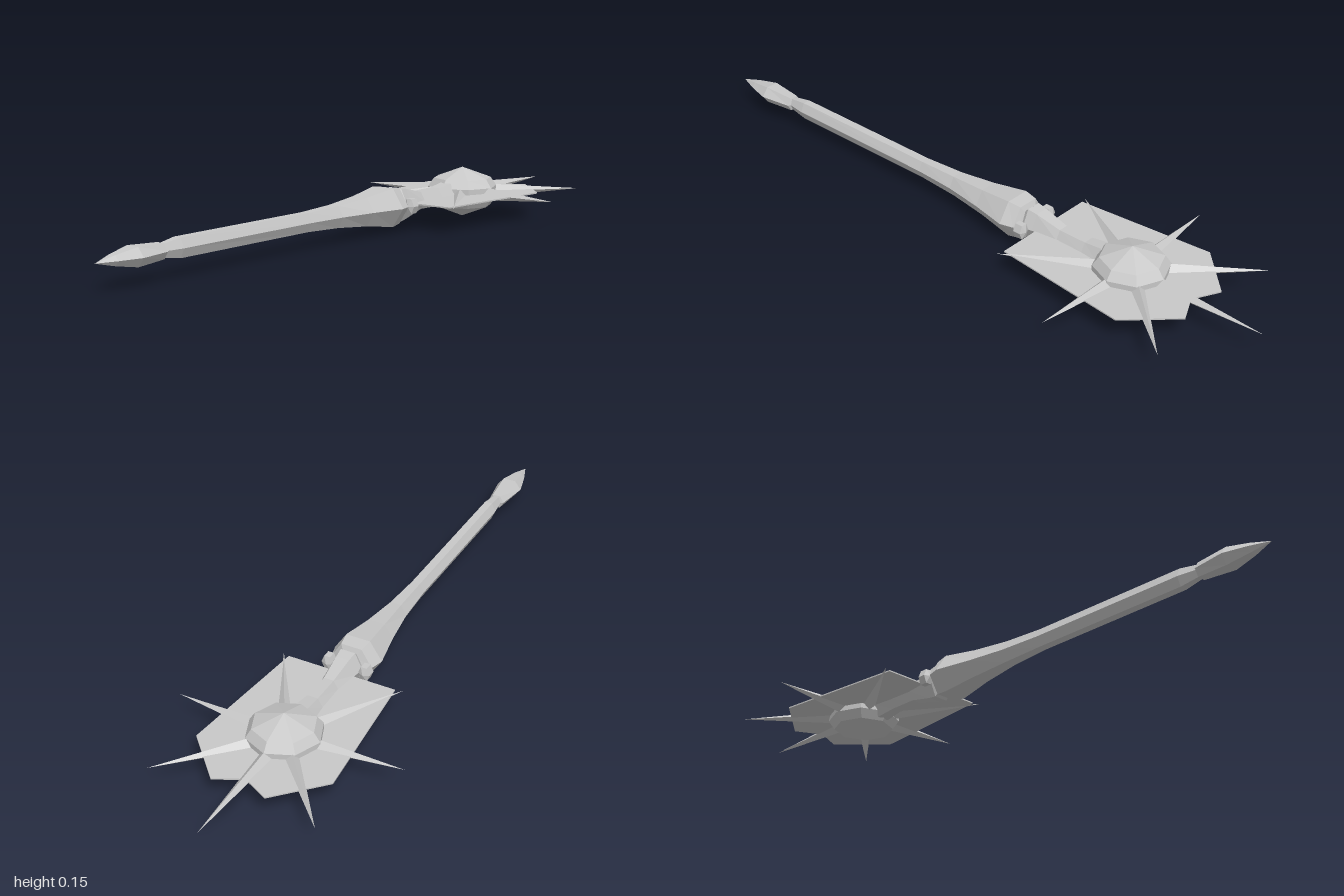
import * as THREE from 'three';

const AXIS_Y = 0.077;

// Six-sided loft along x; each station is [x, half height, half depth]
function loft(stations) {
  const sides = 6, pos = [], idx = [];
  for (const [x, ry, rz] of stations) {
    for (let k = 0; k < sides; k++) {
      const a = (k / sides) * Math.PI * 2;
      pos.push(x, (ry * Math.sin(a)) / 0.866, rz * Math.cos(a));
    }
  }
  for (let i = 0; i < stations.length - 1; i++) {
    for (let k = 0; k < sides; k++) {
      const a = i * sides + k, b = i * sides + ((k + 1) % sides);
      const c = a + sides, d = b + sides;
      idx.push(a, c, b, b, c, d);
    }
  }
  const g = new THREE.BufferGeometry();
  g.setAttribute('position', new THREE.Float32BufferAttribute(pos, 3));
  g.setIndex(idx);
  const flat = g.toNonIndexed();
  flat.computeVertexNormals();
  return flat;
}

export function createModel() {
  const group = new THREE.Group();
  const steel = new THREE.MeshStandardMaterial({
    name: 'steel', color: 0xc8c8c8, flatShading: true, side: THREE.DoubleSide,
  });
  const add = (name, geometry, x = 0, y = AXIS_Y, z = 0) => {
    const mesh = new THREE.Mesh(geometry, steel);
    mesh.name = name;
    mesh.position.set(x, y, z);
    group.add(mesh);
    return mesh;
  };

  // Pointed pommel
  add('pommel', loft([
    [-1, 0, 0], [-0.94, 0.014, 0.022], [-0.87, 0.026, 0.04],
    [-0.77, 0.021, 0.025], [-0.76, 0, 0],
  ]));

  // Shaft flaring towards the head
  add('shaft', loft([
    [-0.78, 0, 0], [-0.77, 0.018, 0.016], [-0.71, 0.027, 0.024], [-0.2, 0.027, 0.026],
    [-0.07, 0.032, 0.034], [0.05, 0.042, 0.052], [0.16, 0.057, 0.075],
    [0.2, 0.052, 0.064], [0.21, 0.03, 0.04], [0.215, 0, 0],
  ]));

  // Neck between shaft and head
  add('neck', loft([
    [0.19, 0, 0], [0.2, 0.03, 0.035], [0.22, 0.05, 0.045], [0.25, 0.045, 0.04],
    [0.33, 0.026, 0.03], [0.42, 0.027, 0.032], [0.48, 0.035, 0.038], [0.52, 0, 0],
  ]));

  // Collar studs on both sides of the neck
  for (const s of [-1, 1]) {
    add('collarStud', loft([
      [-0.02, 0, 0], [-0.012, 0.022, 0.018], [0.012, 0.022, 0.018], [0.02, 0, 0],
    ]), 0.224, AXIS_Y, s * 0.058);
  }

  // Faceted head
  const profile = [[0, 0], [0.09, 0.034], [0.108, 0.06], [0.108, 0.095], [0.09, 0.121], [0, 0.154]]
    .map(([r, y]) => new THREE.Vector2(r, y));
  add('head', new THREE.LatheGeometry(profile, 8), 0.57, 0);

  // Thin flange plate around the head
  const outline = [
    [0.26, 0.168], [0.68, 0.207], [0.81, 0.08], [0.77, 0],
    [0.81, -0.08], [0.68, -0.207], [0.26, -0.168],
  ].map(([x, z]) => new THREE.Vector2(x, z));
  const plate = new THREE.ExtrudeGeometry(new THREE.Shape(outline), { depth: 0.004, bevelEnabled: false });
  plate.translate(0, 0, -0.002);
  plate.rotateX(-Math.PI / 2);
  add('flangePlate', plate);

  // Radiating four-sided spikes
  const tips = [[1, 0]];
  for (const s of [-1, 1]) tips.push([0.85, s * 0.25], [0.547, s * 0.345], [0.25, s * 0.19]);
  for (const [x, z] of tips) {
    const dx = x - 0.57, reach = Math.hypot(dx, z), start = 0.06;
    const spike = new THREE.ConeGeometry(0.023, reach - start, 4);
    spike.rotateZ(-Math.PI / 2);
    spike.translate((reach + start) / 2, 0, 0);
    add('spike', spike, 0.57).rotation.y = Math.atan2(-z, dx);
  }

  return group;
}
